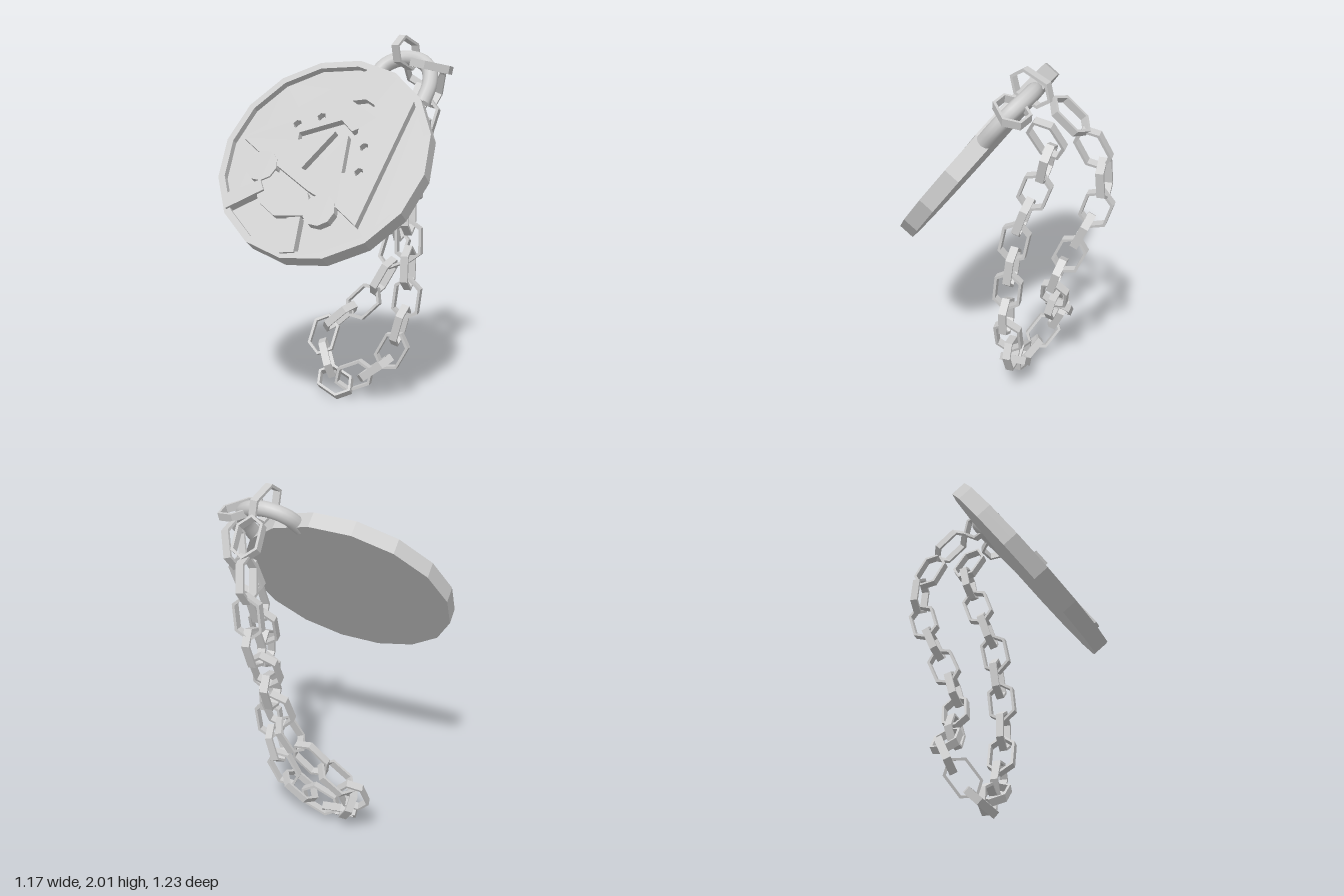
import * as THREE from 'three';

const steel = new THREE.MeshStandardMaterial({ color: 0xcccccc });
steel.name = 'light grey metal';

const V3 = (a) => new THREE.Vector3(...a);

// Frame of the tilted medallion: U across, V up the face, N out of the face
const centre = V3([0.005, 1.405, 0.263]);
const N = V3([0.14, 0.597, 0.79]).normalize();
const U = V3([1, 0, 0]).addScaledVector(N, -N.x).normalize();
const V = N.clone().cross(U);

// Drops a point given by world x, y onto the face plane (raised by w)
function onFace([x, y], w = 0) {
  const d = new THREE.Vector3(x - centre.x - w * N.x, y - centre.y - w * N.y, 0);
  d.z = -(N.x * d.x + N.y * d.y) / N.z;
  return new THREE.Vector2(d.dot(U), d.dot(V));
}

const ring = (c, r, sides) => Array.from({ length: sides }, (_, i) => {
  const a = (i / sides) * Math.PI * 2;
  return new THREE.Vector2(c.x + r * Math.cos(a), c.y + r * Math.sin(a));
});

// Flat piece between two heights; the outline is turned anticlockwise so hole walls face inwards
function slab(name, outline, holes, bottom, top) {
  const shape = new THREE.Shape(THREE.ShapeUtils.isClockWise(outline) ? outline.slice().reverse() : outline);
  holes.forEach((h) => shape.holes.push(new THREE.Path(h)));
  const geo = new THREE.ExtrudeGeometry(shape, { depth: top - bottom, bevelEnabled: false });
  geo.translate(0, 0, bottom);
  const mesh = new THREE.Mesh(geo, steel);
  mesh.name = name;
  return mesh;
}

function makeMedallion() {
  const g = new THREE.Group();
  g.name = 'medallion';
  const O = new THREE.Vector2();
  const floor = -0.036;
  g.add(slab('disc', ring(O, 0.585, 16), [], -0.088, floor));
  g.add(slab('rim', ring(O, 0.585, 16), [ring(O, 0.548, 16)], floor, 0));

  // Face plate with cut-out features
  const face = (pts, w) => pts.map((p) => onFace(p, w));
  const arrow = [[-0.17, 1.51], [0.04, 1.58], [0.12, 1.53], [0.15, 1.545], [0.2, 1.345], [0.155, 1.335],
    [0.11, 1.51], [0, 1.32], [-0.075, 1.345], [0.03, 1.525], [-0.16, 1.475]];
  const crescent = [[0.055, 1.675], [0.125, 1.685], [0.185, 1.66], [0.22, 1.6]];
  const dots = [[-0.2, 1.55], [-0.08, 1.59], [0.22, 1.46], [0.245, 1.345]];
  const plate = [[-0.48, 1.47], [0.08, 1.835], [0.25, 1.79], [0.39, 1.685], [0.335, 1.11],
    [0.2, 1.18], [0.01, 1.245], [-0.2, 1.34], [-0.36, 1.41]];
  const plateTop = 0.005;
  g.add(slab('facePlate', face(plate, plateTop),
    [face(arrow, plateTop), face(crescent, plateTop), ...dots.map((d) => ring(onFace(d, plateTop), 0.025, 6))],
    floor - 0.002, plateTop));

  // Raised band, two studs and two tabs along the lower edge
  const band = [[-0.22, 1.325], [0.01, 1.235], [0.06, 1.17], [0.03, 1.13], [-0.125, 1.12], [-0.24, 1.175], [-0.3, 1.25]];
  g.add(slab('band', face(band), [], floor - 0.004, 0));
  [[-0.3, 1.345], [0.115, 1.165]].forEach((c) =>
    g.add(slab('stud', ring(onFace(c, 0.01), 0.089, 10), [], floor - 0.006, 0.01)));
  [[[-0.44, 1.2], [-0.27, 1.28], [-0.23, 1.235], [-0.4, 1.135]],
    [[-0.035, 1.12], [0.035, 1.13], [0.075, 0.975], [0, 0.965]]].forEach((t) =>
    g.add(slab('tab', face(t, 0.014), [], floor - 0.006, 0.014)));

  g.applyMatrix4(new THREE.Matrix4().makeBasis(U, V, N).setPosition(centre));
  return g;
}

// Curved bail joining the medallion to the chain
function makeBail() {
  const path = new THREE.CatmullRomCurve3([
    [0.08, 1.78, -0.1], [0.11, 1.85, -0.17], [0.19, 1.885, -0.215], [0.28, 1.88, -0.225],
    [0.36, 1.84, -0.2], [0.4, 1.76, -0.14], [0.4, 1.67, -0.07]].map(V3));
  const bail = new THREE.Mesh(new THREE.TubeGeometry(path, 24, 0.041, 12), steel);
  bail.name = 'bail';
  return bail;
}

// One flat-bar link: a stretched hexagon with a hexagonal opening
function makeLinkGeometry() {
  const hex = (w, mid, end) => [[w, -mid], [w, mid], [0, end], [-w, mid], [-w, -mid], [0, -end]]
    .map((p) => new THREE.Vector2(...p));
  const shape = new THREE.Shape(hex(0.074, 0.07, 0.122));
  shape.holes.push(new THREE.Path(hex(0.06, 0.062, 0.106)));
  const geo = new THREE.ExtrudeGeometry(shape, { depth: 0.042, bevelEnabled: false });
  geo.translate(0, 0, -0.021);
  return geo;
}

// Links along a path (first and last points only steer), each a quarter turn from the last
function makeStrand(name, pts, firstNormal, geo) {
  const g = new THREE.Group();
  g.name = name;
  const p = pts.map(V3);
  let normal = V3(firstNormal);
  for (let i = 1; i < p.length - 1; i++) {
    const t = p[i + 1].clone().sub(p[i - 1]).normalize();
    if (i > 1) normal = normal.clone().cross(t);
    normal.addScaledVector(t, -normal.dot(t)).normalize();
    const link = new THREE.Mesh(geo, steel);
    link.name = 'chainLink';
    link.applyMatrix4(new THREE.Matrix4().makeBasis(t.clone().cross(normal), t, normal).setPosition(p[i]));
    g.add(link);
  }
  return g;
}

export function createModel() {
  const model = new THREE.Group();
  model.name = 'medallionOnChain';
  model.add(makeMedallion(), makeBail());

  const link = makeLinkGeometry();
  const rear = [[0.17, 1.94, -0.05], [0.208, 1.915, -0.22], [0.17, 1.8, -0.41], [0.11, 1.63, -0.51],
    [0.07, 1.46, -0.555], [0.07, 1.28, -0.52], [0.06, 1.12, -0.44], [0.08, 0.97, -0.38],
    [0.085, 0.82, -0.31], [0.04, 0.66, -0.27], [-0.055, 0.51, -0.21], [-0.19, 0.41, -0.17],
    [-0.27, 0.3, -0.12], [-0.2, 0.19, -0.06], [-0.11, 0.08, -0.01], [0, 0.13, -0.04]];
  const front = [[0.37, 1.85, -0.21], [0.3, 1.72, -0.36], [0.25, 1.56, -0.33],
    [0.24, 1.38, -0.26], [0.25, 1.22, -0.2], [0.27, 1.07, -0.16], [0.28, 0.92, -0.15],
    [0.29, 0.775, -0.13], [0.29, 0.605, -0.12], [0.255, 0.45, -0.11], [0.21, 0.3, -0.1],
    [0.12, 0.19, -0.07], [0, 0.13, -0.04], [-0.11, 0.08, -0.01]];
  model.add(makeStrand('rearChain', rear, [1, 0, 0], link));
  model.add(makeStrand('frontChain', front, [1, 0, 0], link));
  model.add(makeStrand('bailLink', [[0.23, 1.9, -0.03], [0.37, 1.85, -0.21], [0.51, 1.8, -0.39]], [0, 1, 0], link));
  return model;
}
